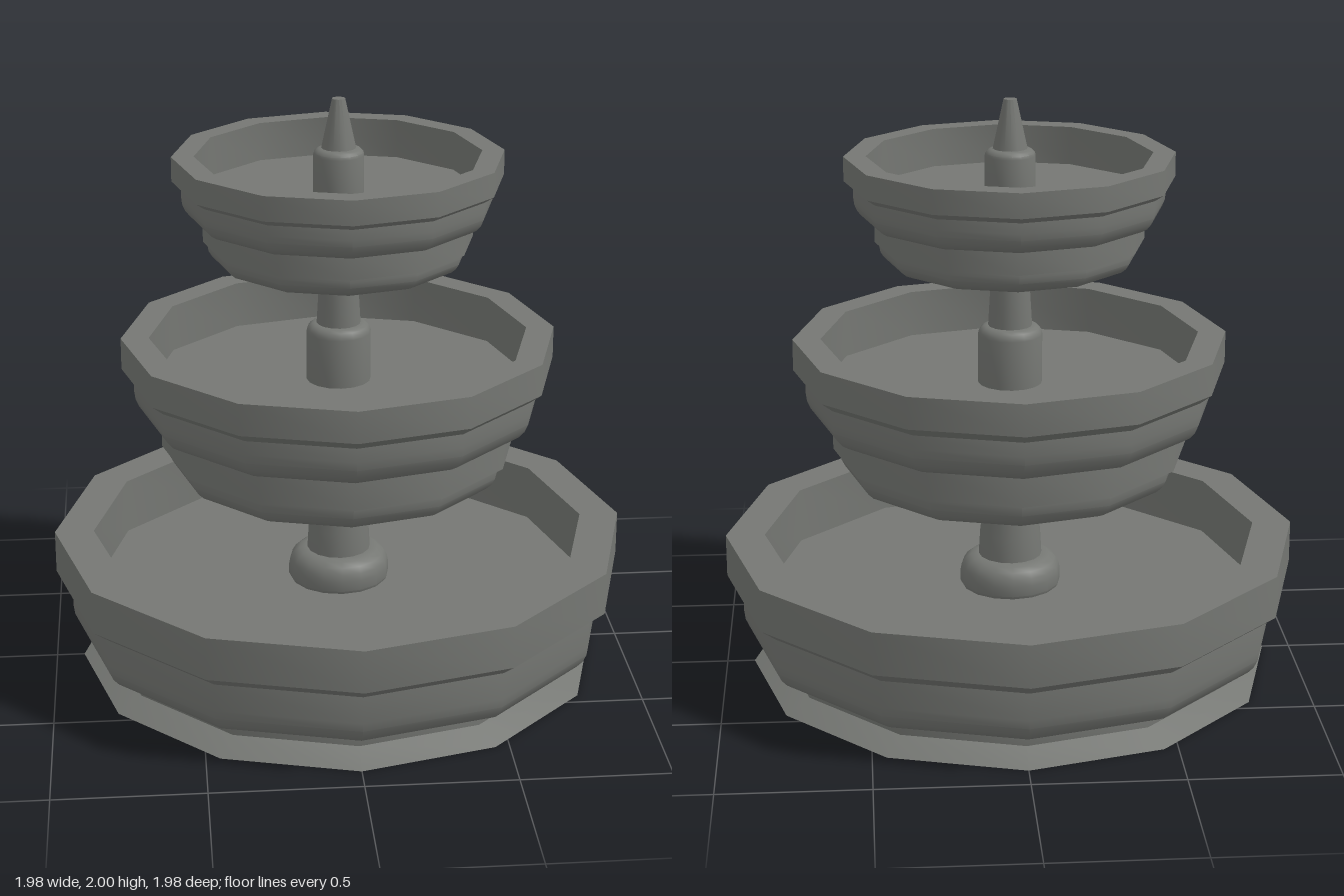
import * as THREE from 'three';
import { toCreasedNormals } from 'three/addons/utils/BufferGeometryUtils.js';

const stone = new THREE.MeshStandardMaterial({ color: 0x757773 });

// Turned part from [radius, height] points; soft bends stay smooth, edges stay sharp
function turned(name, points, sides) {
  const profile = points.map(([r, y]) => new THREE.Vector2(r, y));
  const geometry = toCreasedNormals(new THREE.LatheGeometry(profile, sides), THREE.MathUtils.degToRad(31));
  const mesh = new THREE.Mesh(geometry, stone);
  mesh.name = name;
  return mesh;
}

// Rounded lower edge: flat underside at y0 curving up to radius r
function roundedEdge(r, y0, dr, dy, steps = 5) {
  return Array.from({ length: steps + 1 }, (_, i) => {
    const a = (i / steps) * Math.PI / 2;
    return [r - dr + dr * Math.sin(a), y0 + dy - dy * Math.cos(a)];
  });
}

// Rounded shoulder: vertical at radius r, closing in to r - dr at height y0 + dy
function shoulder(r, y0, dr, dy, steps = 4) {
  return Array.from({ length: steps + 1 }, (_, i) => {
    const a = (i / steps) * Math.PI / 2;
    return [r - dr + dr * Math.cos(a), y0 + dy * Math.sin(a)];
  });
}

// Flared rim, vertical inner wall and flat floor
function rim(r, flareY, wallY, topY, inner, floorY, bulgeR) {
  return [[bulgeR, flareY], [r, wallY], [r, topY], [inner, topY], [inner, floorY], [0, floorY]];
}

export function createModel() {
  const group = new THREE.Group();
  group.name = 'tieredFountain';

  // Twelve-sided basins
  group.add(turned('lowerBasin', [
    [0, 0], [0.905, 0], [0.815, 0.042], [0.815, 0.09],
    ...roundedEdge(0.936, 0.09, 0.09, 0.1),
    ...rim(0.99, 0.286, 0.328, 0.476, 0.855, 0.28, 0.936),
  ], 12));
  group.add(turned('middleBasin', [
    [0, 0.688], ...roundedEdge(0.587, 0.688, 0.09, 0.085),
    [0.587, 0.788], [0.61, 0.788], [0.61, 0.894],
    ...roundedEdge(0.7, 0.894, 0.085, 0.1),
    ...rim(0.74, 1.042, 1.074, 1.183, 0.645, 1.02, 0.7),
  ], 12));
  group.add(turned('upperBasin', [
    [0, 1.444], ...roundedEdge(0.44, 1.444, 0.07, 0.06),
    [0.44, 1.519], [0.455, 1.519], [0.455, 1.598],
    ...roundedEdge(0.524, 1.598, 0.06, 0.075),
    ...rim(0.555, 1.709, 1.73, 1.813, 0.48, 1.68, 0.524),
  ], 12));

  // Tapered columns rising from rounded collars
  group.add(turned('lowerColumn', [
    [0.165, 0.27], [0.175, 0.29], ...shoulder(0.175, 0.325, 0.06, 0.065),
    [0.11, 0.39], [0.105, 0.476], [0.077, 0.7],
  ], 16));
  group.add(turned('middleColumn', [
    [0.11, 1.02], ...shoulder(0.11, 1.19, 0.033, 0.033),
    [0.075, 1.223], [0.068, 1.34], [0.063, 1.46],
  ], 16));
  group.add(turned('finial', [
    [0.085, 1.68], ...shoulder(0.085, 1.81, 0.028, 0.024),
    [0.058, 1.834], [0.022, 2], [0, 2],
  ], 16));
  return group;
}
